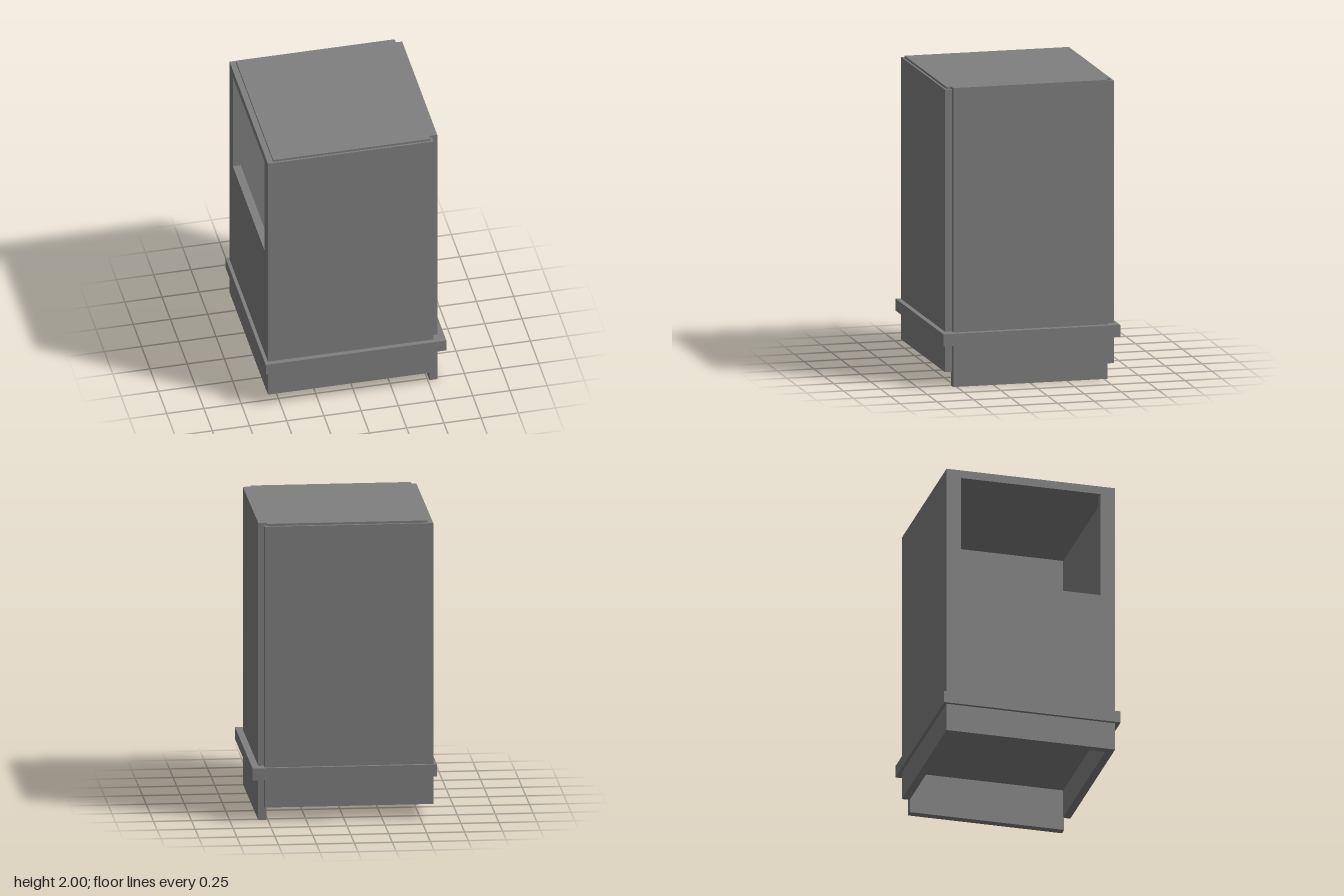
import * as THREE from 'three';

export function createModel() {
  const group = new THREE.Group();
  group.name = 'cabinet';
  const grey = new THREE.MeshStandardMaterial({ color: 0x808080 });
  grey.name = 'panelGrey';

  const add = (name, geometry) => {
    const mesh = new THREE.Mesh(geometry, grey);
    mesh.name = name;
    group.add(mesh);
  };
  // Box given by its limits on each axis
  const panel = (name, [x0, x1], [y0, y1], [z0, z1]) => {
    const g = new THREE.BoxGeometry(x1 - x0, y1 - y0, z1 - z0);
    g.translate((x0 + x1) / 2, (y0 + y1) / 2, (z0 + z1) / 2);
    add(name, g);
  };

  // Floor slab that sticks out all round
  panel('floorSlab', [-0.607, 0.607], [0.285, 0.365], [-0.6, 0.6]);

  // Front and back walls, and the longer left wall that reaches the ground
  panel('frontWall', [-0.585, 0.527], [0.095, 1.985], [0.515, 0.568]);
  panel('backWall', [-0.585, 0.525], [0.095, 1.985], [-0.578, -0.525]);
  panel('leftWall', [0.51, 0.563], [0, 2], [-0.525, 0.522]);

  // Lid, slightly proud of the walls
  panel('lid', [-0.547, 0.51], [1.945, 2], [-0.56, 0.555]);

  // Right wall with an open window into the hollow body
  const rect = (T, x0, x1, y0, y1) => {
    const s = new T();
    s.moveTo(x0, y0).lineTo(x1, y0).lineTo(x1, y1).lineTo(x0, y1).closePath();
    return s;
  };
  const wall = rect(THREE.Shape, -0.525, 0.515, 0.095, 1.985);
  wall.holes.push(rect(THREE.Path, -0.48, 0.47, 1.2, 1.93));
  const wallGeometry = new THREE.ExtrudeGeometry(wall, { depth: 0.053, bevelEnabled: false });
  wallGeometry.rotateY(-Math.PI / 2).translate(-0.532, 0, 0);
  add('rightWallWithWindow', wallGeometry);

  return group;
}
